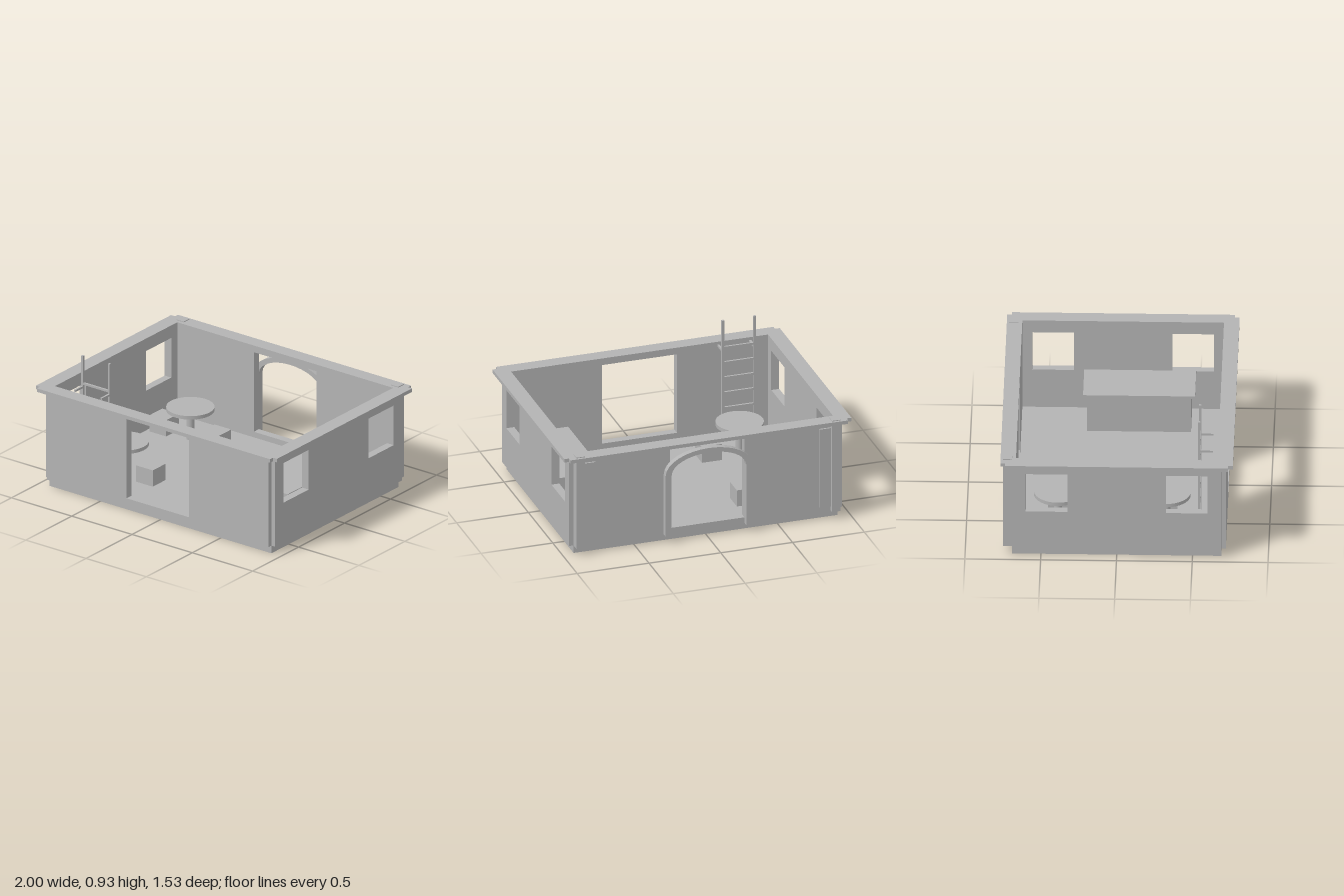
import * as THREE from 'three';

export function createModel() {
  const model = new THREE.Group();
  model.name = 'roomModule';
  const grey = new THREE.MeshStandardMaterial({ color: 0xb3b3b3 });
  grey.name = 'plainGrey';

  function add(name, geometry, parent = model) {
    const mesh = new THREE.Mesh(geometry, grey);
    mesh.name = name;
    parent.add(mesh);
    return mesh;
  }
  // Box given by its minimum and maximum on each axis
  function box(name, x0, x1, y0, y1, z0, z1, parent = model) {
    const mesh = add(name, new THREE.BoxGeometry(x1 - x0, y1 - y0, z1 - z0), parent);
    mesh.position.set((x0 + x1) / 2, (y0 + y1) / 2, (z0 + z1) / 2);
    return mesh;
  }
  function trace(path, points) {
    return path.setFromPoints(points.map(([x, y]) => new THREE.Vector2(x, y)));
  }
  const rect = (x0, x1, y0, y1) => [[x0, y0], [x1, y0], [x1, y1], [x0, y1]];
  // Upright wall panel with rectangular openings
  function wallGeometry(half, depth, openings) {
    const shape = trace(new THREE.Shape(), rect(-half, half, 0.055, 0.69));
    openings.forEach((o) => shape.holes.push(trace(new THREE.Path(), rect(...o))));
    return new THREE.ExtrudeGeometry(shape, { depth, bevelEnabled: false });
  }

  // Base slab, whose top is the floor
  box('baseSlab', -0.92, 0.92, 0, 0.055, -0.69, 0.69);

  // Front and back walls with doorways
  const doorWall = wallGeometry(0.92, 0.055, [[-0.26, 0.26, 0.095, 0.667]]);
  add('frontWall', doorWall).position.z = 0.665;
  add('backWall', doorWall).position.z = -0.72;

  // Side walls with two windows each
  const windowWall = wallGeometry(0.69, 0.055, [
    [-0.6, -0.325, 0.34, 0.625],
    [0.325, 0.6, 0.34, 0.625],
  ]).rotateY(Math.PI / 2);
  add('leftWall', windowWall).position.x = 0.895;
  add('rightWall', windowWall).position.x = -0.95;

  // Overhanging rim with notched corners
  const [a, b, c, d] = [1, 0.967, 0.735, 0.767];
  const rim = trace(new THREE.Shape(), [
    [-b, -d], [b, -d], [b, -c], [a, -c], [a, c], [b, c],
    [b, d], [-b, d], [-b, c], [-a, c], [-a, -c], [-b, -c],
  ]);
  rim.holes.push(trace(new THREE.Path(), rect(-0.895, 0.895, -0.665, 0.665)));
  const rimGeometry = new THREE.ExtrudeGeometry(rim, { depth: 0.025, bevelEnabled: false });
  add('topRim', rimGeometry.rotateX(-Math.PI / 2)).position.y = 0.69;

  // Back corner posts and the narrow panels beside them
  for (const s of [-1, 1]) {
    const post = box('cornerPost', -0.03, 0.03, 0.055, 0.72, -0.75, -0.69);
    post.position.x = s * 0.89;
    const panel = box('wallPanel', -0.04, 0.04, 0.09, 0.66, -0.732, -0.715);
    panel.position.x = s * 0.82;
  }

  // Arched frame around the back doorway
  const arch = new THREE.Shape();
  arch.moveTo(0.302, 0.055);
  arch.lineTo(0.302, 0.495);
  arch.absellipse(0, 0.495, 0.302, 0.162, 0, Math.PI, false);
  arch.lineTo(-0.302, 0.055);
  arch.lineTo(-0.26, 0.055);
  arch.lineTo(-0.26, 0.495);
  arch.absellipse(0, 0.495, 0.26, 0.13, Math.PI, 0, true);
  arch.lineTo(0.26, 0.055);
  const archGeometry = new THREE.ExtrudeGeometry(arch, { depth: 0.04, bevelEnabled: false, curveSegments: 8 });
  add('doorArch', archGeometry).position.z = -0.76;

  // Two round tables, each with a pair of block stools
  for (const z of [-0.395, 0.32]) {
    const set = new THREE.Group();
    set.name = 'tableSet';
    set.position.set(-0.58, 0, z);
    model.add(set);
    add('tableTop', new THREE.CylinderGeometry(0.16, 0.16, 0.025, 48), set).position.y = 0.273;
    add('tableLeg', new THREE.CylinderGeometry(0.027, 0.027, 0.207, 24), set).position.y = 0.158;
    for (const s of [-1, 1]) {
      const stool = box('stool', -0.069, 0.069, 0.055, 0.172, -0.069, 0.069, set);
      stool.position.x = s * 0.217;
    }
  }

  // Serving counter against the left wall
  box('counterBase', 0.59, 0.895, 0.055, 0.325, -0.23, 0.455);
  box('counterTop', 0.56, 0.895, 0.325, 0.345, -0.257, 0.482);

  // Ladder beside the front wall
  for (const x of [-0.758, -0.537]) {
    box('ladderRail', x - 0.008, x + 0.008, 0.055, 0.928, 0.533, 0.549);
    box('ladderBracket', x - 0.007, x + 0.007, 0.698, 0.712, 0.549, 0.63);
  }
  for (let i = 0; i < 6; i++) {
    const y = 0.729 - i * 0.11;
    box('ladderRung', -0.75, -0.545, y - 0.007, y + 0.007, 0.534, 0.548);
  }
  return model;
}
